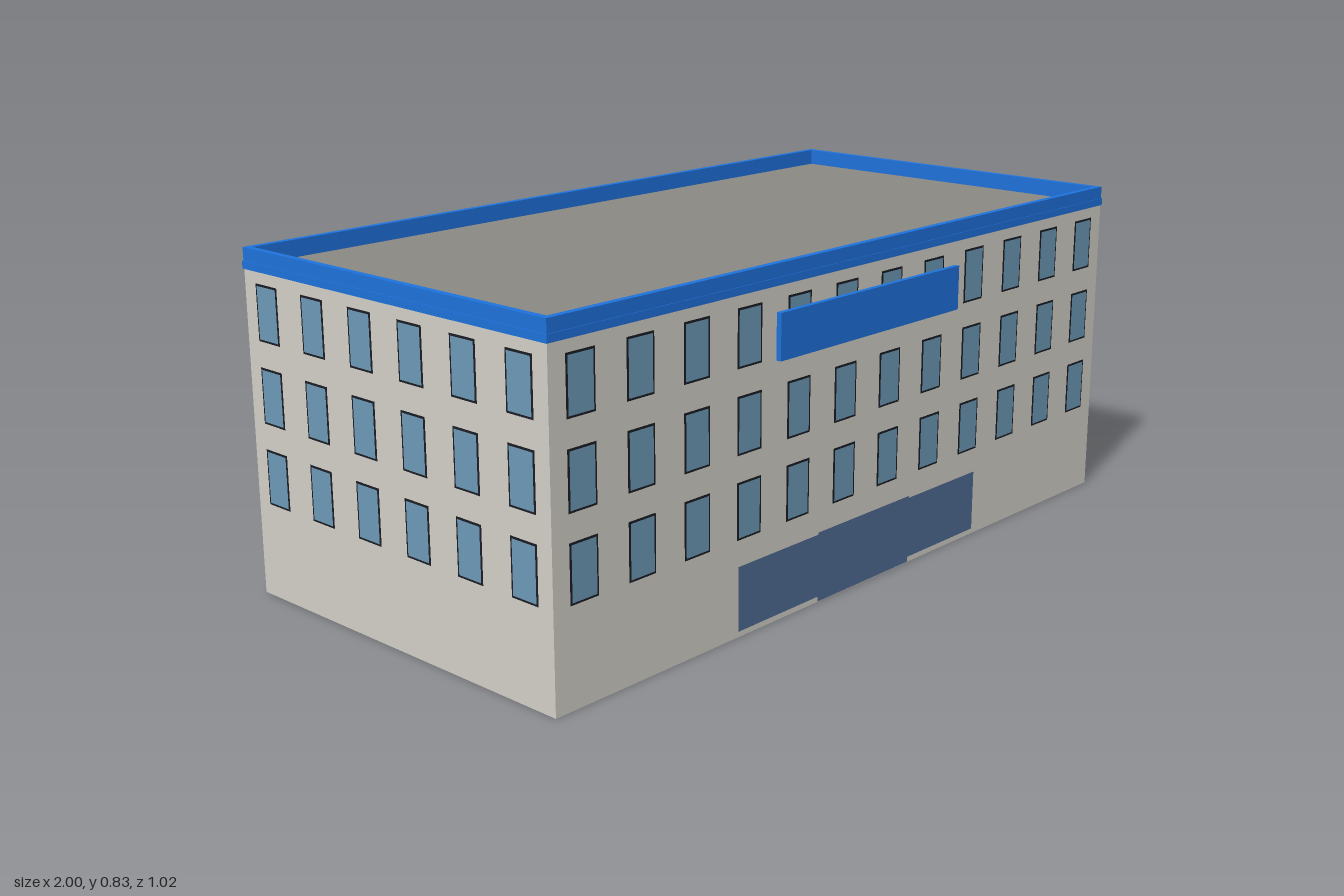
import * as THREE from 'three';

const flat = (name, color, side = THREE.FrontSide) => {
  const m = new THREE.MeshStandardMaterial({ color, side });
  m.name = name;
  return m;
};

export function createModel() {
  const wallMat = flat('wall stone', 0xd2d0c8, THREE.DoubleSide);
  const roofMat = flat('roof grey', 0x8b8983, THREE.DoubleSide);
  const blueMat = flat('trim blue', 0x1e72dc);
  const glassMat = flat('window glass', 0x6d99b7);
  const frameMat = flat('window frame', 0x1a1d24);
  const doorMat = flat('entrance glass', 0x506b93);

  const model = new THREE.Group();
  model.name = 'officeBuilding';
  const building = new THREE.Group();
  building.name = 'building';
  building.position.z = -0.0073;
  model.add(building);

  const HX = 0.997, HZ = 0.498, WALL_TOP = 0.785;

  const add = (parent, name, geometry, material, x, y, z) => {
    const mesh = new THREE.Mesh(geometry, material);
    mesh.name = name;
    mesh.position.set(x, y, z);
    parent.add(mesh);
    return mesh;
  };

  // Windows: dark frame face with a glass face just proud of it
  const frameGeo = new THREE.PlaneGeometry(0.079, 0.133);
  const glassGeo = new THREE.PlaneGeometry(0.069, 0.123);

  // One facade, facing +z before it is turned into place
  const facade = (name, halfWidth, distance, columns, spacing, angle) => {
    const side = new THREE.Group();
    side.name = name;
    side.rotation.y = angle;
    add(side, 'wall', new THREE.PlaneGeometry(halfWidth * 2, WALL_TOP), wallMat, 0, WALL_TOP / 2, distance);
    for (let row = 0; row < 3; row++) {
      for (let col = 0; col < columns; col++) {
        const x = (col - (columns - 1) / 2) * spacing;
        const y = 0.295 + row * 0.194;
        add(side, 'windowFrame', frameGeo, frameMat, x, y, distance + 0.001);
        add(side, 'windowGlass', glassGeo, glassMat, x, y, distance + 0.002);
      }
    }
    building.add(side);
    return side;
  };

  const front = facade('frontFacade', HX, HZ, 12, 0.1658, 0);
  facade('backFacade', HX, HZ, 12, 0.1658, Math.PI);
  facade('leftFacade', HZ, HX, 6, 0.1667, Math.PI / 2);
  facade('rightFacade', HZ, HX, 6, 0.1667, -Math.PI / 2);

  // Entrance: wide glazed strip with a slightly taller centre
  add(front, 'entranceGlazing', new THREE.PlaneGeometry(0.896, 0.153), doorMat, 0, 0.09, HZ + 0.001);
  add(front, 'entranceDoors', new THREE.PlaneGeometry(0.346, 0.170), doorMat, 0, 0.087, HZ + 0.002);

  // Blank sign board above the entrance
  add(front, 'signBoard', new THREE.BoxGeometry(0.66, 0.108, 0.013), blueMat, 0, 0.666, HZ + 0.01);

  // Roof deck
  add(building, 'roof', new THREE.PlaneGeometry(HX * 2 - 0.01, HZ * 2 - 0.01), roofMat, 0, WALL_TOP, 0)
    .rotation.x = -Math.PI / 2;

  // Rectangular rings around the roof edge
  const ring = (name, hx, hz, inset, bottom, height) => {
    const rect = (shape, a, b) =>
      shape.moveTo(-a, -b).lineTo(a, -b).lineTo(a, b).lineTo(-a, b).closePath();
    const outline = new THREE.Shape();
    rect(outline, hx, hz);
    const hole = new THREE.Path();
    rect(hole, hx - inset, hz - inset);
    outline.holes.push(hole);
    const geo = new THREE.ExtrudeGeometry(outline, { depth: height, bevelEnabled: false });
    geo.rotateX(-Math.PI / 2);
    add(building, name, geo, blueMat, 0, bottom, 0);
  };
  ring('parapet', HX + 0.0005, HZ + 0.0005, 0.016, 0.778, 0.048);
  ring('corniceLip', 1, HZ + 0.0025, 0.01, 0.777, 0.018);

  return model;
}
